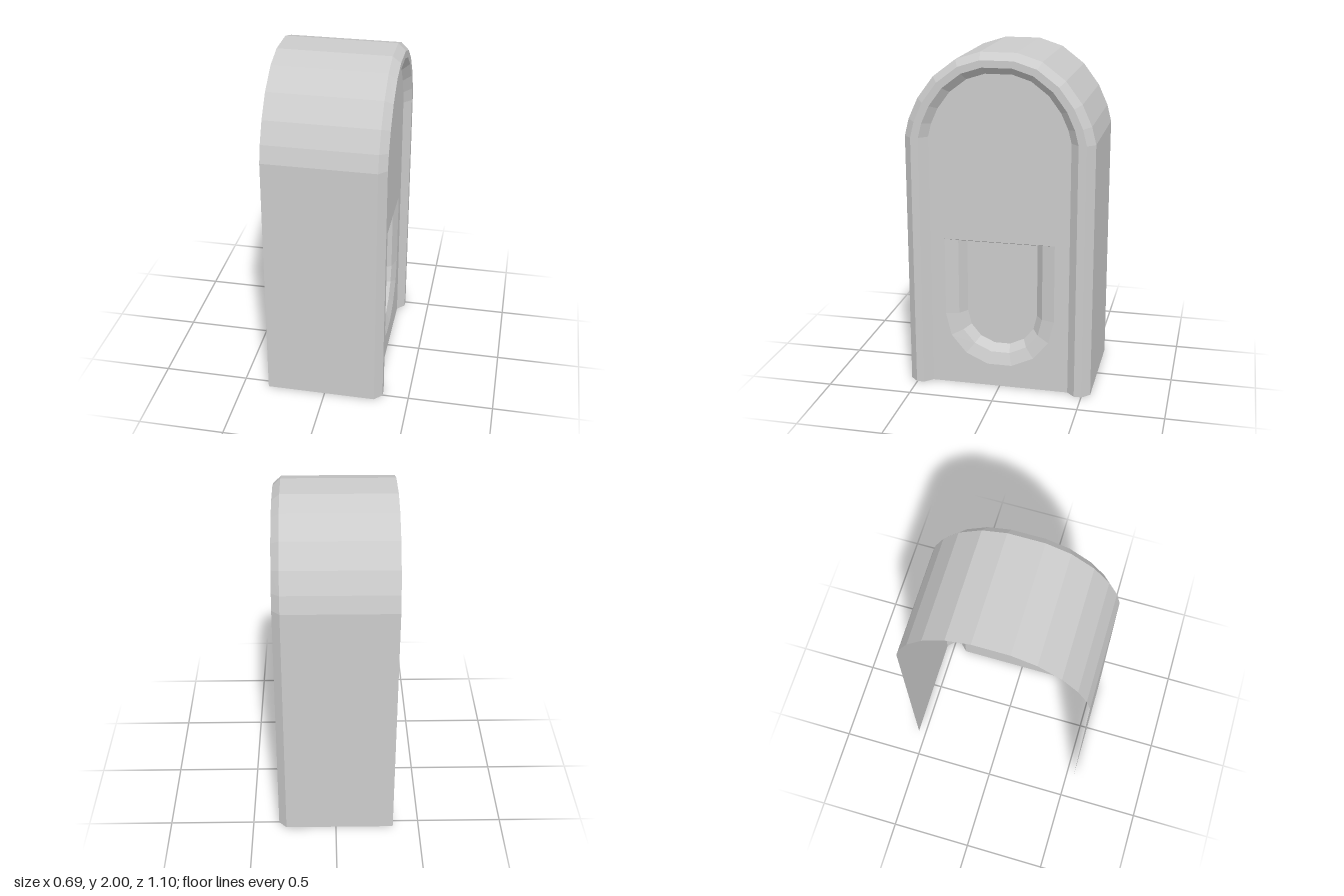
import * as THREE from 'three';

const material = new THREE.MeshStandardMaterial({
  color: 0xcccccc, flatShading: true, side: THREE.DoubleSide,
});

// Arched outline, counter-clockwise from the right foot to the left foot.
const ARCH = [[0.55, 0], [0.55, 1.51], [0.525, 1.61], [0.47, 1.73], [0.377, 1.855], [0.245, 1.955], [0.104, 2]];
function archLoop(halfWidth, top) {
  const side = ARCH.map(([x, y]) => [
    x * halfWidth / 0.55,
    y <= 1.51 ? y : 1.51 + (y - 1.51) * (top - 1.51) / 0.49,
  ]);
  return [...side, ...side.map(([x, y]) => [-x, y]).reverse()];
}

// U-shaped outline with a straight top, counter-clockwise, closed.
function pocketLoop(halfWidth, bottom, top) {
  const centre = 0.44, segments = 7, points = [[halfWidth, top], [-halfWidth, top]];
  for (let i = 0; i <= segments; i++) {
    const a = Math.PI * (1 + i / segments);
    points.push([halfWidth * Math.cos(a), centre + (centre - bottom) * Math.sin(a)]);
  }
  return points;
}

// Skin joining successive outlines, each at its own depth.
function loft(name, rings, closed) {
  const n = rings[0].loop.length, positions = [], index = [];
  for (const { loop, z } of rings) for (const [x, y] of loop) positions.push(x, y, z);
  for (let r = 0; r < rings.length - 1; r++) {
    for (let j = 0; j < (closed ? n : n - 1); j++) {
      const k = (j + 1) % n;
      const a = r * n + j, b = r * n + k, c = b + n, d = a + n;
      index.push(a, b, c, a, c, d);
    }
  }
  let geometry = new THREE.BufferGeometry();
  geometry.setAttribute('position', new THREE.Float32BufferAttribute(positions, 3));
  geometry.setIndex(index);
  geometry = geometry.toNonIndexed();
  geometry.computeVertexNormals();
  return named(name, geometry);
}

function named(name, geometry) {
  const mesh = new THREE.Mesh(geometry, material);
  mesh.name = name;
  return mesh;
}

const vectors = (loop) => loop.map(([x, y]) => new THREE.Vector2(x, y));

function flatPanel(name, loop, z, hole) {
  const shape = new THREE.Shape(vectors(loop));
  if (hole) shape.holes.push(new THREE.Path(vectors(hole)));
  return named(name, new THREE.ShapeGeometry(shape).translate(0, 0, z));
}

export function createModel() {
  const group = new THREE.Group();
  group.name = 'archedHousing';

  const outer = archLoop(0.548, 2);
  const rimOuter = archLoop(0.503, 1.96);
  const rimInner = archLoop(0.457, 1.92);
  const panel = archLoop(0.411, 1.88);
  const FACE = 0.3, RIM = 0.345, FLOOR = 0.22;

  // Open-backed shell, then the bevelled frame around the face
  group.add(loft('shell', [{ loop: outer, z: -0.345 }, { loop: outer, z: FACE }]));
  group.add(loft('frame', [
    { loop: outer, z: FACE }, { loop: rimOuter, z: RIM },
    { loop: rimInner, z: RIM }, { loop: panel, z: FACE },
  ]));

  // Face panel with a dished pocket
  const dish = pocketLoop(0.325, 0.13, 0.907);
  const lip = pocketLoop(0.25, 0.203, 0.897);
  const floor = pocketLoop(0.21, 0.24, 0.877);
  group.add(flatPanel('facePanel', panel, FACE, dish));
  group.add(loft('pocketWall', [
    { loop: dish, z: FACE }, { loop: lip, z: FACE - 0.024 }, { loop: floor, z: FLOOR },
  ], true));
  group.add(flatPanel('pocketFloor', floor, FLOOR));

  // Turn the face towards +x
  group.rotation.y = Math.PI / 2;
  const model = new THREE.Group();
  model.name = 'model';
  model.add(group);
  return model;
}
